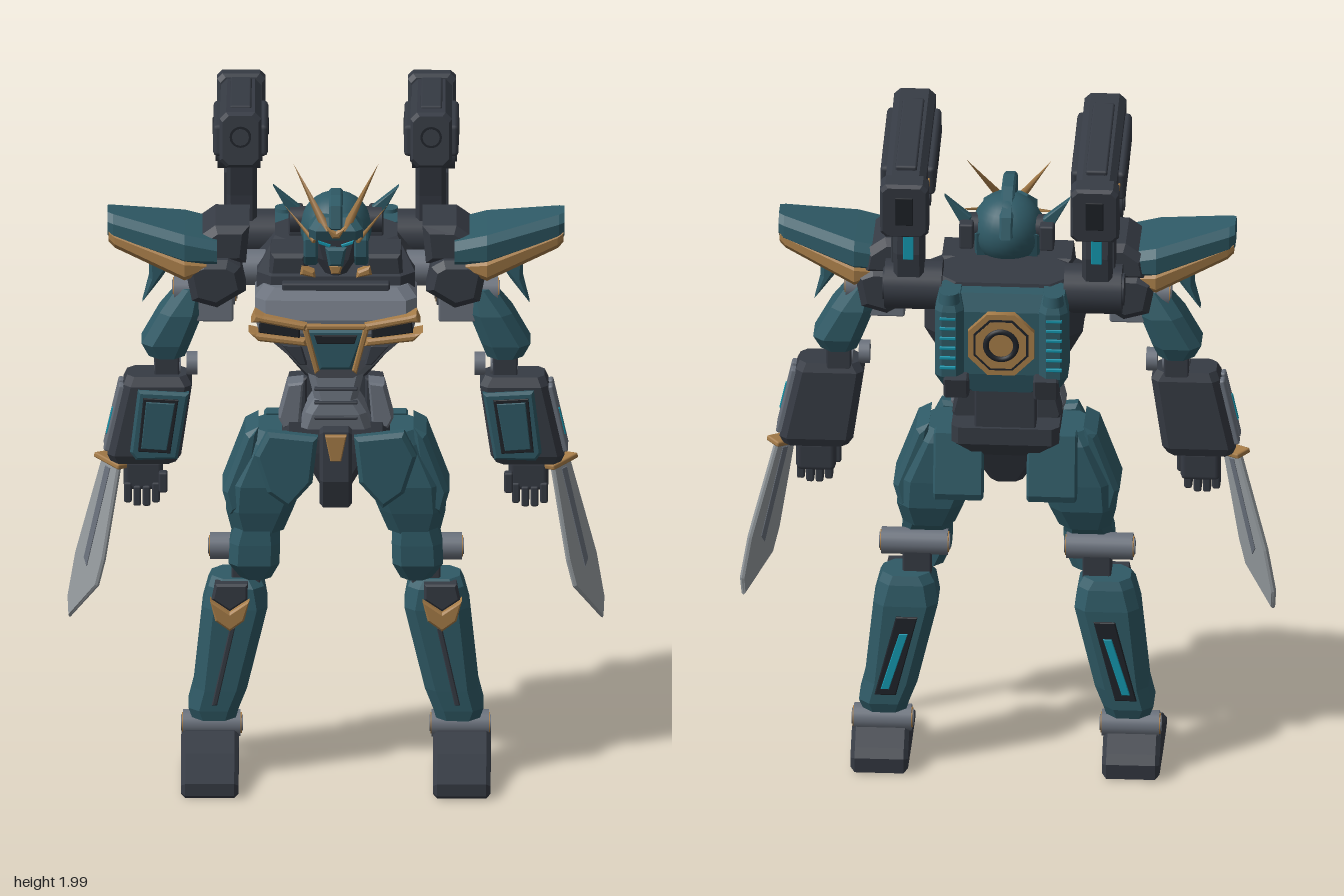
import * as THREE from 'three';
import { RoundedBoxGeometry } from 'three/addons/geometries/RoundedBoxGeometry.js';

const mat = (name, color) => Object.assign(new THREE.MeshStandardMaterial({ color }), { name });
const teal = mat('teal armour', 0x2f5a66), dark = mat('dark armour', 0x363b44), gray = mat('gray metal', 0x6a717c);
const gold = mat('gold trim', 0xa67c48), black = mat('black recess', 0x1f2329);
const steel = mat('blade steel', 0x979da1), cyan = mat('cyan light', 0x1496ad);

// Stack of chamfered rectangles, each [y, x0, x1, z0, z1], in rising order
function loft(sections, c = 0.02) {
  const rings = sections.map(([y, x0, x1, z0, z1]) => {
    const k = Math.min(c, (x1 - x0) * 0.4, (z1 - z0) * 0.4);
    return [[x1, z1 - k], [x1, z0 + k], [x1 - k, z0], [x0 + k, z0], [x0, z0 + k], [x0, z1 - k], [x0 + k, z1], [x1 - k, z1]]
      .map(([x, z]) => [x, y, z]);
  });
  const p = [], tri = (...v) => v.forEach(q => p.push(...q));
  for (let i = 0; i + 1 < rings.length; i++) for (let j = 0; j < 8; j++) {
    const n = (j + 1) % 8, a = rings[i], b = rings[i + 1];
    tri(a[j], a[n], b[n]); tri(a[j], b[n], b[j]);
  }
  const lo = rings[0], hi = rings[rings.length - 1];
  for (let j = 1; j < 7; j++) { tri(hi[0], hi[j], hi[j + 1]); tri(lo[0], lo[j + 1], lo[j]); }
  const g = new THREE.BufferGeometry();
  g.setAttribute('position', new THREE.Float32BufferAttribute(p, 3));
  g.computeVertexNormals();
  return g;
}
// Same, running along x with [x, y0, y1, z0, z1], or along z with [z, x0, x1, y0, y1]
const loftX = (s, c) => loft(s.map(([x, y0, y1, z0, z1]) => [x, -y1, -y0, z0, z1]), c).rotateZ(-Math.PI / 2);
const loftZ = (s, c) => loft(s.map(([z, x0, x1, y0, y1]) => [z, x0, x1, -y1, -y0]), c).rotateX(Math.PI / 2);

// Outline [x, y] given depth from z0 to z1, and outline [z, y] given width from x0 to x1
function front(pts, z0, z1, b = 0.006) {
  b = Math.min(b, (z1 - z0) * 0.3);
  const shape = new THREE.Shape(pts.map(q => new THREE.Vector2(...q)));
  return new THREE.ExtrudeGeometry(shape, { depth: z1 - z0 - 2 * b, bevelEnabled: true, bevelSize: b, bevelThickness: b, bevelOffset: -b, bevelSegments: 1 })
    .translate(0, 0, z0 + b);
}
const side = (pts, x0, x1, b) => front(pts, -x1, -x0, b).rotateY(-Math.PI / 2);
const box = (w, h, d, x, y, z, r = 0.006) => new RoundedBoxGeometry(w, h, d, 1, Math.min(r, w / 3, h / 3, d / 3)).translate(x, y, z);
const cylX = (r, x0, x1, y, z) => new THREE.CylinderGeometry(r, r, x1 - x0, 20).rotateZ(Math.PI / 2).translate((x0 + x1) / 2, y, z);
function spike(r, a, b) {
  const A = new THREE.Vector3(...a), d = new THREE.Vector3(...b).sub(A), len = d.length();
  const g = new THREE.ConeGeometry(r, len, 4).translate(0, len / 2, 0);
  return g.applyQuaternion(new THREE.Quaternion().setFromUnitVectors(new THREE.Vector3(0, 1, 0), d.normalize())).translate(...a);
}
function mirrored(geo) {
  const g = geo.index ? geo.toNonIndexed() : geo.clone();
  for (const key of ['position', 'normal']) {
    const a = g.attributes[key];
    for (let i = 0; i < a.count; i++) a.setX(i, -a.getX(i));
    for (let i = 0; i < a.count; i += 3) {
      const v = new THREE.Vector3().fromBufferAttribute(a, i + 1), w = new THREE.Vector3().fromBufferAttribute(a, i + 2);
      a.setXYZ(i + 1, w.x, w.y, w.z); a.setXYZ(i + 2, v.x, v.y, v.z);
    }
  }
  return g;
}

export function createModel() {
  const model = new THREE.Group();
  model.name = 'robot';
  const one = (name, m, g) => {
    const mesh = new THREE.Mesh(g, m);
    mesh.name = name;
    model.add(mesh);
  };
  const pair = (name, m, g) => { one(name + 'Left', m, g); one(name + 'Right', m, mirrored(g)); };
  // Axle with a thin gold ring and a gray hub on both ends
  const axle = (name, r, x0, x1, y, z) => {
    pair(name, gray, cylX(r, x0, x1, y, z));
    pair(name + 'Ring', gold, cylX(r * 0.78, x0 - 0.003, x1 + 0.003, y, z));
    pair(name + 'Hub', gray, cylX(r * 0.6, x0 - 0.006, x1 + 0.006, y, z));
  };

  // Feet and shins
  pair('foot', dark, side([[0.31, 0.01], [0.31, 0.045], [0.18, 0.088], [0.1, 0.125], [0.02, 0.115], [-0.03, 0.075], [-0.05, 0.05], [-0.045, 0.005], [0.1, 0], [0.3, 0]], 0.27, 0.43, 0.012));
  axle('ankle', 0.038, 0.265, 0.425, 0.133, 0.052);
  pair('shin', teal, loft([[0.17, 0.278, 0.4, 0, 0.14], [0.2, 0.27, 0.41, -0.01, 0.145], [0.26, 0.247, 0.395, -0.01, 0.147], [0.5, 0.19, 0.37, -0.01, 0.15], [0.56, 0.2, 0.355, 0, 0.145], [0.585, 0.215, 0.345, 0.01, 0.125]], 0.03));
  pair('shinStripe', dark, front([[0.28, 0.45], [0.295, 0.45], [0.345, 0.22], [0.33, 0.22]], 0.14, 0.154, 0.003));
  pair('kneeGuard', dark, front([[0.245, 0.58], [0.335, 0.58], [0.345, 0.535], [0.295, 0.5], [0.245, 0.535]], 0.11, 0.16));
  pair('kneeChevron', gold, front([[0.24, 0.535], [0.295, 0.5], [0.35, 0.535], [0.335, 0.475], [0.295, 0.445], [0.255, 0.475]], 0.12, 0.172));
  pair('calfRecess', black, front([[0.245, 0.47], [0.305, 0.47], [0.365, 0.23], [0.305, 0.23]], -0.016, -0.005, 0.003));
  pair('calfLight', cyan, front([[0.272, 0.42], [0.296, 0.42], [0.347, 0.25], [0.324, 0.25]], -0.02, -0.014, 0.002));

  // Knees, thighs and skirt plates
  axle('kneeJoint', 0.038, 0.165, 0.35, 0.665, 0.075);
  pair('kneeCore', dark, box(0.08, 0.16, 0.07, 0.25, 0.6, 0.08));
  pair('lowerThigh', teal, loft([[0.59, 0.18, 0.265, 0.07, 0.15], [0.64, 0.157, 0.298, 0.075, 0.175], [0.7, 0.155, 0.295, 0.07, 0.175], [0.76, 0.16, 0.28, 0.03, 0.17]], 0.025));
  pair('thigh', teal, loft([[0.735, 0.145, 0.29, 0.025, 0.17], [0.8, 0.12, 0.305, 0, 0.185], [0.88, 0.09, 0.3, -0.005, 0.195], [1, 0.07, 0.25, 0, 0.18], [1.035, 0.09, 0.23, 0.02, 0.165]], 0.035));
  pair('frontSkirt', teal, front([[0.05, 1.035], [0.19, 1.05], [0.225, 0.98], [0.19, 0.87], [0.13, 0.825], [0.065, 0.9]], 0.17, 0.22, 0.012));
  pair('sideSkirt', teal, front([[0.215, 1.05], [0.252, 1.03], [0.315, 0.86], [0.295, 0.79], [0.24, 0.82]], 0.015, 0.18, 0.014));
  pair('backSkirt', teal, side([[0.03, 1.04], [-0.015, 1.04], [-0.052, 0.87], [-0.045, 0.85], [-0.01, 0.86]], 0.06, 0.2));

  // Pelvis and waist
  one('pelvis', dark, loft([[0.88, -0.045, 0.045, 0.02, 0.18], [0.98, -0.1, 0.1, -0.02, 0.19], [1.02, -0.15, 0.15, -0.04, 0.19], [1.07, -0.15, 0.15, -0.04, 0.18]]));
  one('crotchGuard', dark, side([[0.17, 1.07], [0.24, 1.06], [0.255, 0.92], [0.23, 0.835], [0.16, 0.835]], -0.045, 0.045, 0.01));
  one('crotchTrim', gold, front([[-0.03, 1.055], [0.03, 1.055], [0.015, 0.98], [-0.015, 0.98]], 0.235, 0.257, 0.003));
  one('waist', gray, loft([[1.055, -0.1, 0.1, 0.07, 0.2], [1.1, -0.085, 0.085, 0.07, 0.205], [1.14, -0.06, 0.06, 0.07, 0.2], [1.22, -0.08, 0.08, 0.07, 0.19]]));
  one('waistBack', dark, box(0.17, 0.18, 0.12, 0, 1.13, 0.03));
  for (const y of [1.09, 1.135, 1.175]) one('waistBand', dark, box(0.12, 0.008, 0.02, 0, y, 0.2));
  pair('hipPod', gray, front([[0.09, 1.185], [0.135, 1.18], [0.16, 1.08], [0.145, 1.05], [0.1, 1.06]], 0.11, 0.18));
  pair('hipPodBack', dark, front([[0.08, 1.175], [0.13, 1.17], [0.152, 1.08], [0.14, 1.05], [0.08, 1.05]], 0.04, 0.115));

  // Torso
  one('torso', dark, loft([[1.19, -0.085, 0.085, -0.04, 0.17], [1.3, -0.17, 0.17, -0.1, 0.19], [1.4, -0.22, 0.22, -0.13, 0.19], [1.5, -0.22, 0.22, -0.14, 0.18], [1.56, -0.17, 0.17, -0.13, 0.05]], 0.04));
  pair('ribPanel', gray, loft([[1.25, 0.09, 0.131, 0.01, 0.1], [1.3, 0.13, 0.175, -0.02, 0.1], [1.35, 0.16, 0.2, -0.02, 0.1]], 0.01));
  one('chest', gray, loft([[1.2, -0.075, 0.075, 0.1, 0.19], [1.27, -0.13, 0.13, 0.08, 0.225], [1.36, -0.215, 0.215, 0.05, 0.26], [1.4, -0.225, 0.225, 0.05, 0.262], [1.45, -0.225, 0.225, 0.05, 0.24], [1.475, -0.2, 0.2, 0.05, 0.2]], 0.03));
  one('chestCore', teal, front([[-0.085, 1.375], [0.085, 1.375], [0.045, 1.255], [-0.045, 1.255]], 0.2, 0.272, 0.01));
  one('chestRecess', black, front([[-0.06, 1.36], [0.06, 1.36], [0.052, 1.335], [-0.052, 1.335]], 0.268, 0.276, 0.002));
  one('chestBar', gold, front([[-0.085, 1.39], [0.085, 1.39], [0.08, 1.377], [-0.08, 1.377]], 0.24, 0.278, 0.003));
  pair('chestFrame', gold, front([[0.078, 1.385], [0.092, 1.375], [0.058, 1.245], [0.045, 1.255]], 0.2, 0.276, 0.004));
  pair('chestUpperTrim', gold, front([[0.08, 1.395], [0.2, 1.418], [0.225, 1.425], [0.235, 1.4], [0.21, 1.4], [0.085, 1.375]], 0.22, 0.285));
  pair('chestLowerTrim', gold, front([[0.085, 1.348], [0.22, 1.365], [0.242, 1.37], [0.215, 1.343], [0.08, 1.328]], 0.21, 0.28));
  pair('chestIntake', black, front([[0.1, 1.38], [0.21, 1.4], [0.215, 1.365], [0.1, 1.348]], 0.24, 0.268, 0.003));
  pair('chestLowerPlate', dark, front([[0.095, 1.32], [0.15, 1.32], [0.1, 1.26], [0.08, 1.26]], 0.19, 0.245, 0.004));
  one('chestTop', dark, box(0.3, 0.03, 0.15, 0, 1.474, 0.135));
  pair('collar', dark, front([[0.07, 1.47], [0.19, 1.47], [0.18, 1.56], [0.085, 1.56]], 0.03, 0.17, 0.01));
  pair('collarTrim', gold, front([[0.055, 1.495], [0.1, 1.505], [0.095, 1.53], [0.06, 1.515]], 0.15, 0.185));
  one('neck', dark, new THREE.CylinderGeometry(0.045, 0.06, 0.12, 16).translate(0, 1.51, 0.1));

  // Head
  one('helmet', teal, new THREE.SphereGeometry(0.1, 28, 18).translate(0, 1.622, 0.105));
  one('face', dark, loft([[1.51, -0.03, 0.03, 0.12, 0.2], [1.56, -0.06, 0.06, 0.05, 0.21], [1.635, -0.078, 0.078, 0.04, 0.215]], 0.025));
  one('mask', teal, front([[-0.03, 1.6], [0.03, 1.6], [0.02, 1.545], [-0.02, 1.545]], 0.18, 0.228, 0.008));
  one('chin', gold, front([[-0.02, 1.548], [0.02, 1.548], [0.012, 1.52], [-0.012, 1.52]], 0.17, 0.222));
  pair('cheek', teal, side([[0.215, 1.62], [0.215, 1.57], [0.17, 1.53], [0.06, 1.55], [0.04, 1.63]], 0.05, 0.09));
  pair('eye', cyan, front([[0.014, 1.607], [0.05, 1.62], [0.047, 1.61], [0.018, 1.6]], 0.211, 0.219, 0.001));
  one('brow', teal, loft([[1.625, -0.075, 0.075, 0.1, 0.23], [1.655, -0.075, 0.075, 0.1, 0.24], [1.685, -0.05, 0.05, 0.1, 0.21]]));
  one('crest', teal, side([[0.26, 1.67], [0.24, 1.73], [0.19, 1.745], [0.12, 1.74], [0.02, 1.69], [0, 1.63], [0.2, 1.64]], -0.019, 0.019));
  one('hornBase', gold, front([[-0.028, 1.668], [0, 1.655], [0.028, 1.668], [0.01, 1.635], [-0.01, 1.635]], 0.22, 0.247));
  pair('horn', gold, spike(0.014, [0.022, 1.65, 0.23], [0.118, 1.815, 0.13]));
  pair('cheekHorn', gold, spike(0.007, [0.06, 1.62, 0.225], [0.145, 1.68, 0.09]));
  pair('ear', dark, cylX(0.036, 0.08, 0.128, 1.635, 0.085));
  pair('earBlock', dark, box(0.04, 0.075, 0.07, 0.112, 1.625, 0.06));
  pair('earFin', teal, front([[0.1, 1.63], [0.125, 1.64], [0.175, 1.732], [0.1, 1.67]], 0.06, 0.085, 0.004));

  // Shoulders
  pair('shoulderBlock', dark, front([[0.265, 1.53], [0.3, 1.55], [0.37, 1.55], [0.42, 1.53], [0.4, 1.43], [0.33, 1.41], [0.25, 1.46]], -0.045, 0.205, 0.02));
  pair('shoulderTop', dark, front([[0.24, 1.64], [0.335, 1.64], [0.39, 1.6], [0.4, 1.53], [0.25, 1.53]], -0.04, 0.17, 0.02));
  pair('shoulderLink', gray, cylX(0.05, 0.19, 0.3, 1.48, 0.05));
  pair('shoulderWing', teal, loftX([[0.33, 1.53, 1.605, -0.03, 0.205], [0.42, 1.535, 1.625, -0.04, 0.21], [0.62, 1.585, 1.665, 0.03, 0.15], [0.635, 1.6, 1.668, 0.04, 0.14]], 0.022));
  pair('shoulderTrim', gold, loftX([[0.36, 1.515, 1.55, -0.03, 0.2], [0.42, 1.495, 1.56, -0.043, 0.215], [0.615, 1.57, 1.62, 0.029, 0.155], [0.632, 1.585, 1.63, 0.037, 0.146]], 0.015));
  pair('shoulderSpike', teal, front([[0.45, 1.525], [0.52, 1.54], [0.52, 1.47], [0.537, 1.4], [0.485, 1.47]], 0.07, 0.12, 0.01));

  // Arms
  axle('shoulderJoint', 0.043, 0.28, 0.45, 1.435, 0.105);
  pair('armpitBlock', gray, box(0.13, 0.075, 0.1, 0.35, 1.395, 0.11));
  pair('upperArm', teal, loft([[1.25, 0.42, 0.52, 0.05, 0.17], [1.29, 0.405, 0.54, 0.035, 0.18], [1.38, 0.37, 0.49, 0.035, 0.18], [1.45, 0.355, 0.44, 0.06, 0.16]], 0.03));
  pair('elbow', dark, box(0.07, 0.12, 0.08, 0.47, 1.22, 0.115));
  for (const x of [0.385, 0.43, 0.475]) pair('elbowDisc', gray, cylX(0.033, x, x + 0.03, 1.222, 0.12));
  pair('forearm', dark, loft([[0.945, 0.445, 0.625, 0.08, 0.18], [0.97, 0.43, 0.635, 0.07, 0.19], [1.175, 0.4, 0.59, 0.07, 0.19], [1.2, 0.415, 0.58, 0.08, 0.175]]));
  pair('forearmPanel', teal, front([[0.408, 1.16], [0.55, 1.168], [0.572, 0.985], [0.555, 0.962], [0.44, 0.965]], 0.15, 0.203, 0.008));
  pair('forearmInset', black, front([[0.437, 1.143], [0.535, 1.148], [0.55, 0.99], [0.46, 0.985]], 0.198, 0.207, 0.002));
  pair('forearmInsetPlate', teal, front([[0.447, 1.133], [0.527, 1.138], [0.541, 1], [0.47, 0.995]], 0.202, 0.211, 0.002));
  for (const z of [0.105, 0.155])
    pair('forearmRail', gray, box(0.02, 0.2, 0.034, 0, 0, 0).rotateZ(0.22).translate(0.615, 1.075, z));
  pair('forearmLight', cyan, box(0.008, 0.08, 0.014, 0, 0, 0).rotateZ(0.22).translate(0.627, 1.065, 0.155));
  pair('palm', dark, box(0.11, 0.09, 0.07, 0.535, 0.905, 0.13, 0.015));
  for (let i = 0; i < 4; i++) pair('finger', dark, box(0.022, 0.06, 0.05, 0.5 + i * 0.026, 0.85 + (i % 3 ? -0.005 : 0.005), 0.145));
  pair('thumb', dark, box(0.025, 0.06, 0.03, 0.48, 0.89, 0.17));

  // Blades, turned half sideways
  const place = g => g.rotateY(Math.PI / 4).rotateZ(0.2).translate(0.622, 0.94, 0.135);
  pair('bladeGuard', gold, place(box(0.1, 0.016, 0.05, 0, 0, 0)));
  pair('guardBar', gold, box(0.09, 0.012, 0.06, 0.58, 0.947, 0.13));
  pair('blade', steel, place(front([[-0.035, 0], [0.035, 0], [0.058, -0.3], [0.052, -0.43], [0.03, -0.485], [-0.048, -0.36], [-0.052, -0.28]], -0.009, 0.009, 0.006)));
  pair('bladeGroove', gray, place(front([[-0.008, -0.02], [0.012, -0.02], [0.018, -0.3], [0, -0.32]], -0.011, 0.011, 0.001)));

  // Backpack
  one('backpack', teal, loft([[1.25, -0.11, 0.11, -0.18, -0.08], [1.31, -0.17, 0.17, -0.195, -0.08], [1.5, -0.17, 0.17, -0.195, -0.08], [1.55, -0.15, 0.15, -0.175, -0.08]], 0.03));
  pair('backpackPod', teal, loft([[1.27, 0.115, 0.165, -0.2, -0.1], [1.31, 0.105, 0.185, -0.22, -0.09], [1.51, 0.105, 0.185, -0.225, -0.09], [1.555, 0.115, 0.175, -0.21, -0.1]]));
  pair('podKnob', teal, new THREE.CylinderGeometry(0.026, 0.03, 0.03, 16).translate(0.145, 1.55, -0.205));
  for (let i = 0; i < 6; i++) pair('ventLight', cyan, box(0.045, 0.01, 0.008, 0.148, 1.34 + i * 0.03, -0.222));
  pair('thruster', dark, side([[-0.15, 1.32], [-0.24, 1.31], [-0.225, 1.25], [-0.15, 1.235]], 0.09, 0.16));
  const disc = (r, z, n) => new THREE.CylinderGeometry(r, r, 0.03, n).rotateY(Math.PI / 8).rotateX(Math.PI / 2).translate(0, 1.41, z);
  one('backFrame', gold, disc(0.1, -0.2, 8));
  one('backFrameGap', black, disc(0.083, -0.202, 8));
  one('backPlate', gold, disc(0.076, -0.204, 8));
  one('backRing', black, new THREE.TorusGeometry(0.042, 0.009, 8, 32).translate(0, 1.41, -0.217));

  // Cannon mounts
  pair('mountPivot', dark, cylX(0.07, 0.17, 0.33, 1.53, -0.085));
  pair('mountPivotCap', dark, cylX(0.045, 0.19, 0.336, 1.53, -0.085));
  pair('mountArm', dark, side([[-0.01, 1.8], [-0.14, 1.8], [-0.15, 1.65], [-0.13, 1.53], [-0.045, 1.53], [-0.035, 1.66]], 0.22, 0.305, 0.012));
  pair('mountPlate', dark, side([[-0.06, 1.72], [-0.12, 1.72], [-0.12, 1.61], [-0.06, 1.61]], 0.3, 0.312, 0.003));
  pair('mountLight', cyan, box(0.03, 0.09, 0.008, 0.262, 1.68, -0.15));
  pair('cannonHinge', dark, cylX(0.055, 0.21, 0.33, 1.795, -0.05));
  pair('cannonHingeCap', dark, cylX(0.036, 0.205, 0.335, 1.795, -0.05));

  // Cannons, tipped up at the muzzle
  const aim = g => g.rotateX(-0.125).translate(0.265, 1.885, -0.04);
  pair('cannon', dark, aim(loftZ([[-0.22, -0.056, 0.056, -0.07, 0.07], [0.255, -0.058, 0.058, -0.078, 0.078], [0.268, -0.05, 0.05, -0.07, 0.07]], 0.018)));
  pair('cannonBreech', dark, aim(loftZ([[-0.262, -0.06, 0.06, -0.08, 0.075], [-0.253, -0.067, 0.067, -0.088, 0.083], [-0.205, -0.067, 0.067, -0.088, 0.083], [-0.195, -0.058, 0.058, -0.078, 0.073]], 0.015)));
  pair('cannonRearVent', black, aim(box(0.05, 0.09, 0.008, 0, 0, -0.261)));
  pair('cannonRail', dark, aim(box(0.152, 0.09, 0.32, 0, -0.01, 0.07, 0.012)));
  pair('cannonTopRail', dark, aim(box(0.06, 0.02, 0.36, 0, 0.074, 0.02)));
  pair('muzzle', black, aim(new THREE.CylinderGeometry(0.03, 0.03, 0.008, 20).rotateX(Math.PI / 2).translate(0, 0.01, 0.267)));
  pair('muzzleCore', dark, aim(new THREE.CylinderGeometry(0.024, 0.024, 0.012, 12).rotateX(Math.PI / 2).translate(0, 0.01, 0.267)));
  for (const s of [-1, 1]) {
    pair('cannonPanel', black, aim(box(0.006, 0.035, 0.07, s * 0.075, -0.01, 0.04)));
    pair('cannonMark', gold, aim(box(0.008, 0.011, 0.08, s * 0.058, 0, -0.13)));
  }
  return model;
}
